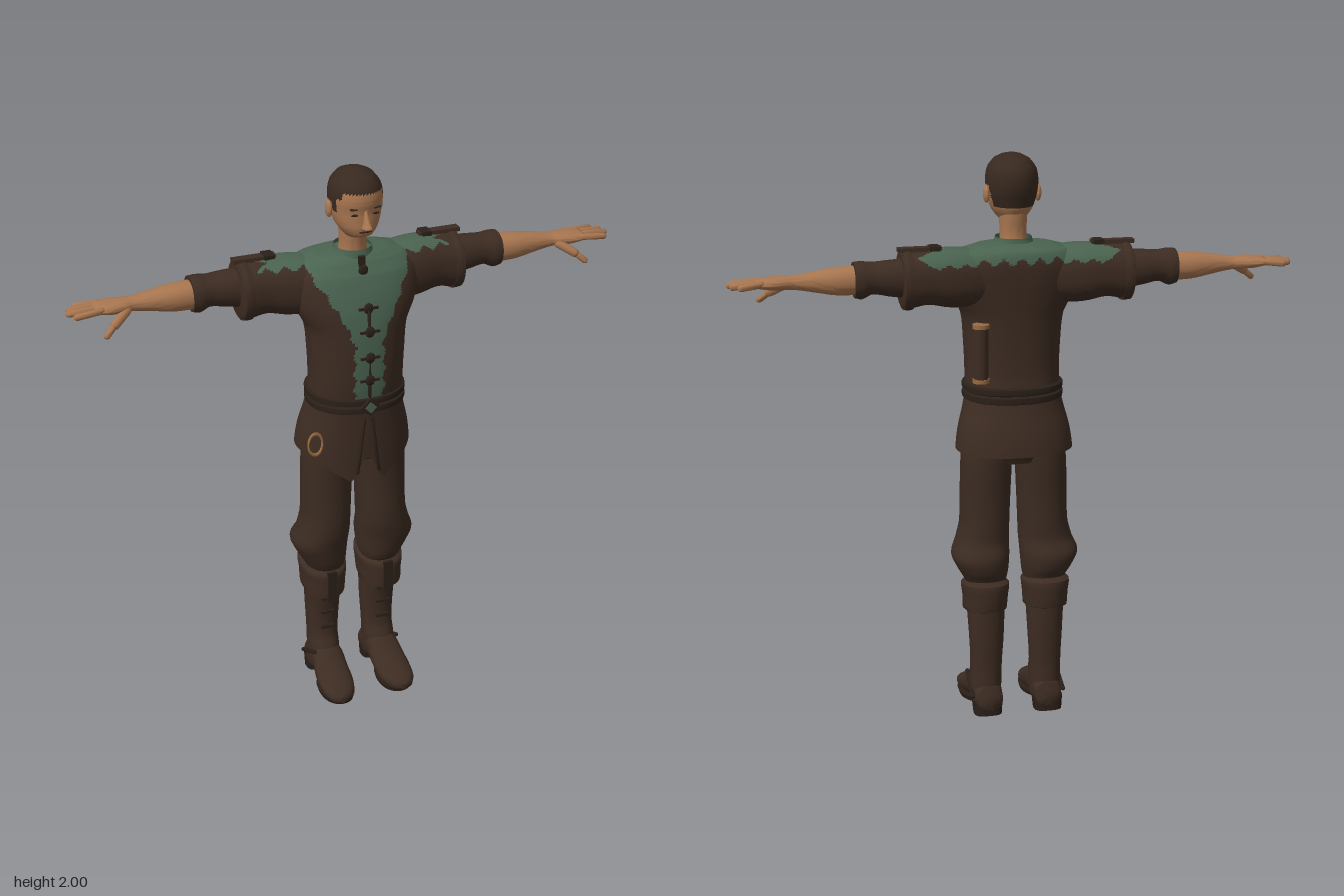
import * as THREE from 'three';
import { toCreasedNormals } from 'three/addons/utils/BufferGeometryUtils.js';

const mat = (name, color) => {
  const m = new THREE.MeshStandardMaterial({ color, side: THREE.DoubleSide });
  m.name = name;
  return m;
};

// Lofted skin along an axis (0 x, 1 y, 2 z). Row: [t, uMin, uMax, vMin, vMax], t ascending,
// where u, v are the next two axes in cyclic order.
function loft(axis, rows, { seg = 32, sub = 4, n = 2.2, caps = true, move, pick } = {}) {
  const pos = [], u = (axis + 1) % 3, v = (axis + 2) % 3;
  const put = p => { if (move) move(p); pos.push(...p); };
  const smooth = (a, b, c, d, f) =>
    b + 0.5 * f * (c - a + f * (2 * a - 5 * b + 4 * c - d + f * (3 * (b - c) + d - a)));
  const rings = [];
  const row = i => rows[THREE.MathUtils.clamp(i, 0, rows.length - 1)];
  for (let i = 0; i < rows.length; i++) {
    for (let s = 0; s < (i < rows.length - 1 ? sub : 1); s++) {
      const f = s / sub;
      rings.push(row(i).map((b, k) => k
        ? smooth(row(i - 1)[k], b, row(i + 1)[k], row(i + 2)[k], f)
        : b + (row(i + 1)[0] - b) * f));
    }
  }
  const pw = (x) => Math.sign(x) * Math.abs(x) ** (2 / n);
  for (const r of rings) {
    for (let j = 0; j < seg; j++) {
      const a = j / seg * Math.PI * 2, p = [0, 0, 0];
      p[axis] = r[0];
      p[u] = (r[1] + r[2]) / 2 + (r[2] - r[1]) / 2 * pw(Math.cos(a));
      p[v] = (r[3] + r[4]) / 2 + (r[4] - r[3]) / 2 * pw(Math.sin(a));
      put(p);
    }
  }
  const lists = [[], []];
  const tri = (...ids) => {
    const c = [0, 1, 2].map(k => ids.reduce((s, i) => s + pos[i * 3 + k] / 3, 0));
    lists[pick && pick(...c) ? 1 : 0].push(...ids);
  };
  for (let i = 0; i < rings.length - 1; i++) {
    for (let j = 0; j < seg; j++) {
      const a = i * seg + j, b = i * seg + (j + 1) % seg;
      tri(a, b, b + seg);
      tri(a, b + seg, a + seg);
    }
  }
  if (caps) [0, rings.length - 1].forEach((i, end) => {
    const r = rings[i], p = [0, 0, 0], c = pos.length / 3;
    p[axis] = r[0]; p[u] = (r[1] + r[2]) / 2; p[v] = (r[3] + r[4]) / 2;
    put(p);
    for (let j = 0; j < seg; j++) {
      const a = i * seg + j, b = i * seg + (j + 1) % seg;
      if (end) tri(c, a, b); else tri(c, b, a);
    }
  });
  const g = new THREE.BufferGeometry();
  g.setAttribute('position', new THREE.Float32BufferAttribute(pos, 3));
  g.setIndex([...lists[0], ...lists[1]]);
  if (pick) {
    g.addGroup(0, lists[0].length, 0);
    g.addGroup(lists[0].length, lists[1].length, 1);
  }
  return g;
}

// Copy of an unindexed geometry reflected in x, with its winding put right
function mirror(geo) {
  const g = geo.clone().scale(-1, 1, 1);
  for (const key of ['position', 'normal']) {
    const a = g.attributes[key].array;
    for (let i = 0; i < a.length; i += 9) {
      for (let k = 0; k < 3; k++) [a[i + k], a[i + 6 + k]] = [a[i + 6 + k], a[i + k]];
    }
  }
  return g;
}

const box = (w, h, d, x, y, z, rz = 0) => new THREE.BoxGeometry(w, h, d).rotateZ(rz).translate(x, y, z);
const ball = (w, h, d, x, y, z) => new THREE.SphereGeometry(1, 16, 12).scale(w, h, d).translate(x, y, z);
function limb(a, b, r) {
  const A = new THREE.Vector3(...a), B = new THREE.Vector3(...b), d = B.clone().sub(A);
  const q = new THREE.Quaternion().setFromUnitVectors(new THREE.Vector3(0, 1, 0), d.clone().normalize());
  return new THREE.CapsuleGeometry(r, d.length(), 4, 10).applyQuaternion(q).translate(...A.add(B).multiplyScalar(0.5).toArray());
}
const sym = rows => rows.map(([y, z0, z1, x]) => [y, z0, z1, -x, x]);

export function createModel() {
  const root = new THREE.Group();
  root.name = 'figure';
  const skin = mat('skin', 0xa87650), hair = mat('hair', 0x38291f), brown = mat('leatherBrown', 0x3d2c22);
  const cloth = mat('trouserBrown', 0x3b2b21), green = mat('greenCloth', 0x4a6350);
  const dark = mat('darkLeather', 0x2b2019), brass = mat('brass', 0x9a6a40);
  const one = (name, geo, m) => {
    const mesh = new THREE.Mesh(geo, m);
    mesh.name = name;
    root.add(mesh);
  };
  const add = (name, geo, m) => one(name, toCreasedNormals(geo, 0.8), m);
  const pair = (name, geo, m) => {
    const g = toCreasedNormals(geo, 0.8);
    one(name + 'Left', g, m);
    one(name + 'Right', mirror(g), m);
  };

  // Head: the hairline divides skin from hair
  add('head', loft(1, sym([
    [1.77, -0.05, 0.06, 0.04], [1.785, -0.065, 0.094, 0.052], [1.81, -0.08, 0.105, 0.069], [1.84, -0.09, 0.106, 0.08],
    [1.87, -0.1, 0.106, 0.086], [1.91, -0.105, 0.113, 0.089], [1.95, -0.096, 0.105, 0.082],
    [1.98, -0.07, 0.08, 0.06], [1.994, -0.035, 0.045, 0.034], [2, -0.005, 0.015, 0.01]]), {
    seg: 48, sub: 5, n: 2.1,
    pick: (x, y, z) => y > (z > 0.07 ? 1.938 : z > 0.045 ? 1.915 : z > 0.02 ? 1.865 : z > -0.03 ? 1.895 : 1.822),
  }), [skin, hair]);
  add('neck', loft(1, sym([[1.67, -0.08, 0.035, 0.05], [1.73, -0.07, 0.035, 0.045], [1.8, -0.075, 0.045, 0.048]])), skin);
  add('nose', loft(1, sym([[1.815, 0.09, 0.118, 0.014], [1.824, 0.09, 0.142, 0.017], [1.835, 0.09, 0.137, 0.012],
    [1.86, 0.09, 0.121, 0.008], [1.882, 0.09, 0.11, 0.007]]), { seg: 14 }), skin);
  add('mouth', ball(0.024, 0.003, 0.006, 0, 1.805, 0.102), dark);
  pair('ear', ball(0.011, 0.03, 0.02, 0.09, 1.862, -0.005), skin);
  pair('eye', ball(0.014, 0.004, 0.005, 0.036, 1.866, 0.098), dark);
  pair('eyebrow', box(0.032, 0.005, 0.008, 0.037, 1.887, 0.1, 0.08), hair);

  // Jacket body: jagged green yoke running into a strip down the chest
  const jag = t => Math.abs((t * 16 % 1 + 1) % 1 - 0.5);
  const chest = y => (y < 1.42 ? 0.045 : y < 1.5 ? 0.045 + (y - 1.42) * 0.4 : 0.077 + (y - 1.5) * 0.6) + 0.03 * jag(y);
  add('jacket', loft(1, sym([
    [1.16, -0.145, 0.135, 0.165], [1.25, -0.135, 0.145, 0.164], [1.35, -0.135, 0.148, 0.168], [1.45, -0.14, 0.145, 0.178],
    [1.52, -0.148, 0.134, 0.212], [1.58, -0.155, 0.117, 0.23], [1.64, -0.157, 0.092, 0.23],
    [1.68, -0.145, 0.062, 0.195], [1.697, -0.115, 0.045, 0.13], [1.703, -0.085, 0.035, 0.06]]), {
    seg: 120, sub: 8, n: 2.3,
    pick: (x, y, z) => z > 0 ? Math.abs(x) < chest(y) || y > 1.685 : y > 1.635 + 0.06 * jag(x),
  }), [brown, green]);
  add('collar', loft(1, sym([[1.68, -0.1, 0.052, 0.078], [1.7, -0.092, 0.05, 0.068], [1.718, -0.088, 0.046, 0.062]]), { caps: false }), green);

  // Chest lacing
  [[1.28, 0.148], [1.365, 0.15], [1.46, 0.146], [1.54, 0.131], [1.66, 0.082]].forEach(([y, z], i) => {
    add('toggle' + i, ball(0.017, 0.02, 0.008, 0, y, z), dark);
    if (i < 4) add('lace' + i, box(0.07, 0.008, 0.008, 0, y, z), dark);
  });
  add('chestCord', limb([0, 1.22, 0.146], [0, 1.53, 0.137], 0.006), dark);
  add('neckTab', box(0.022, 0.06, 0.012, 0, 1.675, 0.066), dark);

  // Skirt of the jacket: two pointed front flaps parted in the middle
  add('jacketSkirt', loft(1, sym([[0.975, -0.19, 0.13, 0.205], [1.05, -0.178, 0.132, 0.195],
    [1.13, -0.155, 0.133, 0.175], [1.2, -0.142, 0.135, 0.162]]), {
    seg: 96, sub: 5, caps: false,
    move: p => {
      const f = (1.2 - p[1]) / 0.225, x = Math.abs(p[0]);
      if (p[2] > 0) p[1] -= f * 0.095 * Math.max(0, x < 0.055 ? (x - 0.01) / 0.045 : 1 - (x - 0.055) / 0.14);
    },
    pick: (x, y, z) => z > 0 && Math.abs(x) < 0.1 * (y - 1.1),
  }), [brown, green]);
  pair('flapEdge', limb([0.014, 1.13, 0.133], [0.04, 0.92, 0.133], 0.006), dark);

  // Belt and buckle
  [1.166, 1.196].forEach((y, i) => add('beltBand' + i, loft(1, sym([[y - 0.014, -0.148, 0.14, 0.168],
    [y - 0.01, -0.155, 0.149, 0.175], [y + 0.01, -0.155, 0.149, 0.175], [y + 0.014, -0.148, 0.14, 0.168]]), { sub: 2 }), dark));
  add('buckle', box(0.05, 0.05, 0.014, 0, 1.18, 0.15, Math.PI / 4), dark);
  add('buckleStone', box(0.03, 0.03, 0.008, 0, 1.18, 0.156, Math.PI / 4), green);

  // Sleeves, with the yoke reaching over the shoulder
  pair('sleeve', loft(0, [[0.1, 1.5, 1.68, -0.135, 0.04], [0.18, 1.49, 1.69, -0.15, 0.05], [0.24, 1.492, 1.693, -0.157, 0.045],
    [0.31, 1.505, 1.69, -0.158, 0.035], [0.38, 1.495, 1.686, -0.16, 0.036], [0.398, 1.5, 1.682, -0.157, 0.033],
    [0.402, 1.54, 1.65, -0.125, 0]], {
    seg: 72, sub: 8, n: 2.4,
    pick: (x, y, z) => y > 1.635 + 0.03 * jag(x) + (z > -0.06 ? 0.03 : 0) && x < 0.3 + 0.1 * jag(z),
  }), [brown, green]);
  pair('forearmSleeve', loft(0, [[0.37, 1.53, 1.665, -0.135, -0.005], [0.44, 1.54, 1.662, -0.135, -0.01],
    [0.5, 1.55, 1.658, -0.13, -0.014], [0.535, 1.535, 1.662, -0.135, -0.008], [0.56, 1.54, 1.66, -0.133, -0.01]]), brown);
  pair('shoulderStrap', box(0.15, 0.014, 0.035, 0.335, 1.695, -0.07), brown);
  pair('shoulderBuckle', box(0.035, 0.016, 0.05, 0.285, 1.697, -0.07), dark);
  pair('shoulderCuffBand', loft(0, [[0.365, 1.49, 1.69, -0.164, 0.04], [0.375, 1.488, 1.694, -0.166, 0.042],
    [0.395, 1.49, 1.69, -0.164, 0.04]]), brown);

  // Forearm and hand
  pair('forearm', loft(0, [[0.54, 1.55, 1.648, -0.12, -0.02], [0.62, 1.552, 1.645, -0.12, -0.02], [0.7, 1.566, 1.634, -0.108, -0.03],
    [0.76, 1.576, 1.625, -0.1, -0.036], [0.79, 1.578, 1.624, -0.106, -0.028], [0.84, 1.58, 1.622, -0.117, -0.02],
    [0.885, 1.588, 1.616, -0.115, -0.024], [0.892, 1.595, 1.61, -0.11, -0.03]]), skin);
  [[0.94, -0.118], [0.965, -0.092], [0.973, -0.062], [0.955, -0.028]].forEach(([x, z], i) =>
    pair('finger' + i, limb([0.87, 1.605, -0.105 + i * 0.024], [x, 1.598, z], 0.0115), skin));
  pair('thumb', limb([0.785, 1.59, -0.04], [0.835, 1.56, -0.008], 0.016), skin);
  pair('thumbTip', limb([0.835, 1.56, -0.008], [0.868, 1.532, 0.008], 0.011), skin);

  // Trousers
  add('hips', loft(1, sym([[0.93, -0.11, 0.07, 0.13], [0.98, -0.13, 0.09, 0.175], [1.15, -0.125, 0.11, 0.16]])), cloth);
  pair('trouserLeg', loft(1, [[0.46, -0.11, 0.03, 0.045, 0.165], [0.5, -0.122, 0.052, 0.032, 0.182], [0.54, -0.142, 0.062, 0.026, 0.205],
    [0.59, -0.148, 0.072, 0.022, 0.226], [0.64, -0.125, 0.08, 0.02, 0.208], [0.7, -0.122, 0.082, 0.018, 0.193],
    [0.8, -0.12, 0.08, 0.014, 0.19], [0.95, -0.125, 0.085, 0.008, 0.185], [1.05, -0.12, 0.095, 0.008, 0.165]]), cloth);

  // Boots
  pair('bootCuff', loft(1, [[0.385, -0.13, 0.045, 0.04, 0.18], [0.39, -0.148, 0.058, 0.034, 0.186], [0.44, -0.155, 0.06, 0.03, 0.188],
    [0.485, -0.155, 0.058, 0.026, 0.192], [0.497, -0.13, 0.04, 0.04, 0.175]], {
    move: p => { p[1] += (p[2] + 0.05) * -0.12; },
  }), brown);
  pair('cuffTongue', box(0.035, 0.12, 0.012, 0.108, 0.425, 0.057), dark);
  pair('bootShaft', loft(1, [[0.05, -0.12, 0.02, 0.055, 0.165], [0.13, -0.118, 0.025, 0.052, 0.165], [0.18, -0.117, 0.005, 0.052, 0.164],
    [0.28, -0.122, 0.005, 0.046, 0.168], [0.42, -0.125, 0.025, 0.04, 0.175]]), brown);
  pair('bootFoot', loft(2, [[-0.13, 0.075, 0.14, 0.02, 0.08], [-0.12, 0.06, 0.155, 0.01, 0.11], [-0.05, 0.055, 0.165, 0.02, 0.145],
    [0.01, 0.05, 0.168, 0.02, 0.145], [0.06, 0.049, 0.176, 0.014, 0.105], [0.11, 0.05, 0.178, 0.008, 0.08],
    [0.16, 0.062, 0.172, 0.006, 0.062], [0.19, 0.085, 0.155, 0.006, 0.045], [0.2, 0.105, 0.135, 0.012, 0.035]]), brown);
  pair('bootSole', loft(1, [[0, 0.01, 0.19, 0.055, 0.172], [0.018, 0.005, 0.195, 0.05, 0.178]], { sub: 1 }), dark);
  pair('bootHeel', loft(1, [[0, -0.128, -0.05, 0.06, 0.16], [0.05, -0.13, -0.035, 0.056, 0.164]], { sub: 1, n: 3 }), dark);
  [0.225, 0.29, 0.35].forEach((y, i) => pair('bootLace' + i, box(0.05, 0.01, 0.012, 0.108, y, 0.006 + i * 0.004), dark));
  pair('ankleStrap', limb([0.166, 0.07, -0.1], [0.163, 0.125, 0.01], 0.008), dark);

  // Scroll case on the back, with brass rings
  add('scrollCase', new THREE.CylinderGeometry(0.026, 0.026, 0.2, 20).translate(0.135, 1.335, -0.118), brown);
  [1.24, 1.43].forEach((y, i) =>
    add('caseRing' + i, new THREE.CylinderGeometry(0.029, 0.029, 0.014, 20).translate(0.135, y, -0.118), brass));

  // Ring hanging at the hip
  add('hipRing', new THREE.TorusGeometry(0.03, 0.005, 8, 32).scale(0.85, 1.35, 1).translate(-0.19, 1.055, 0.12), brass);
  return root;
}
